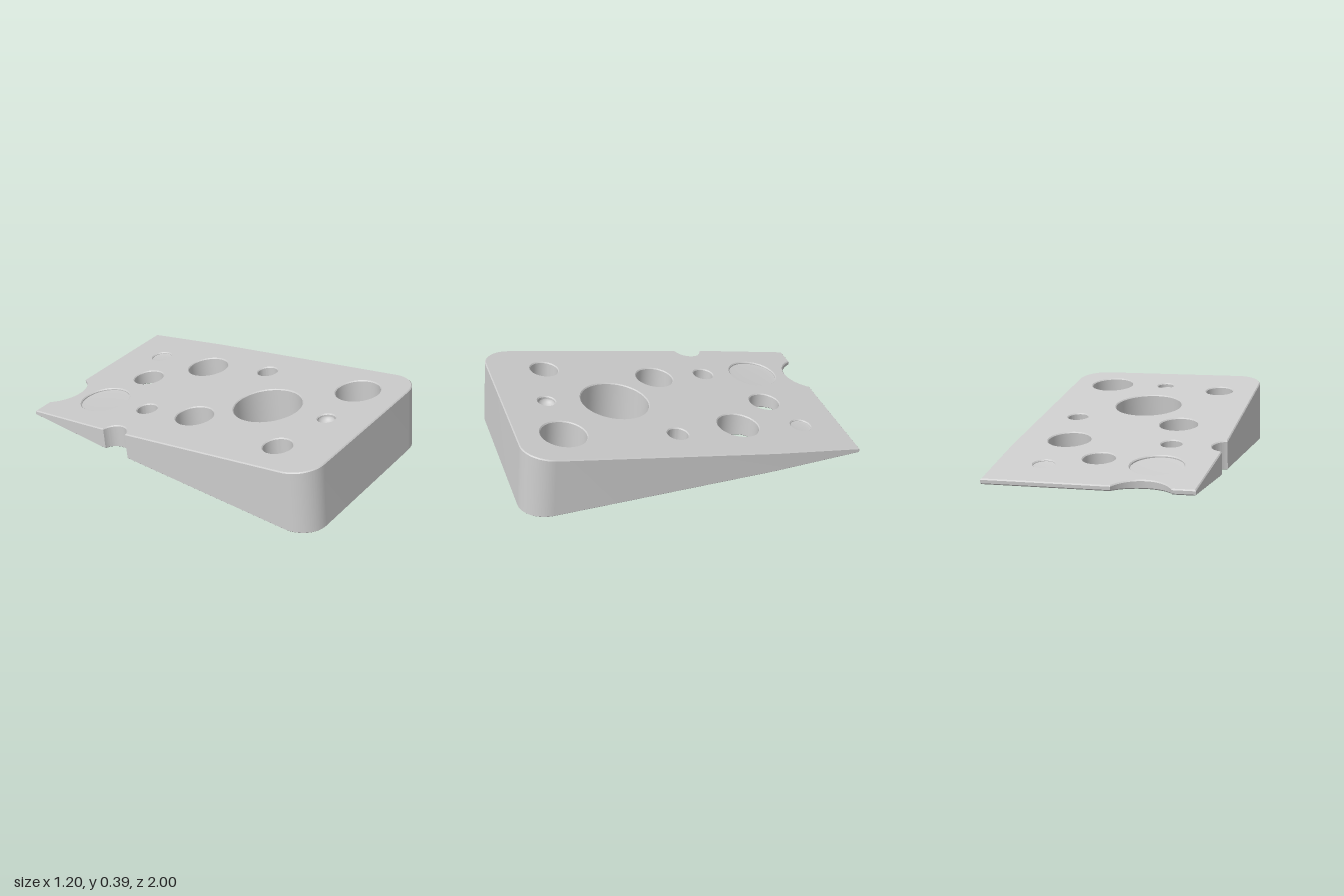
import * as THREE from 'three';
import { toCreasedNormals } from 'three/addons/utils/BufferGeometryUtils.js';

const SLOPE = 0.186; // rise of the upper face per unit z
const LEAN = 0.09; // backward lean of the walls and holes
const BEVEL = 0.006;

// Height of the upper face above a point at z, and the matching plan position at y = 0
const topAt = (z) => 0.03 + SLOPE * (z + 1);
const planZ = (z) => z + LEAN * topAt(z);

// x, z, radius at the upper face
const holes = [
  [0, 0.305, 0.2], [-0.265, -0.022, 0.112], [0.37, 0.045, 0.06], [0.34, 0.695, 0.13],
  [-0.375, 0.63, 0.083], [-0.3, -0.35, 0.06], [0.295, -0.35, 0.123], [0.04, -0.62, 0.091],
];
// x, z, radius, depth of the rim, extra depth of the bowl
const dents = [
  [-0.3, -0.68, 0.147, 0.012, 0.004],
  [0.315, -0.74, 0.06, 0.008, 0.004],
  [-0.01, 0.705, 0.05, 0.008, 0.042],
];

// Plan outline, with shape y pointing to the back
function outline() {
  const s = new THREE.Shape();
  s.moveTo(0.58, 0.997);
  s.lineTo(-0.13, 0.997);
  s.absarc(-0.2925, 1.077, 0.18, -0.457, -Math.PI + 0.457, true); // back notch
  s.lineTo(-0.58, 0.997);
  s.lineTo(-0.6, 0.46);
  s.absarc(-0.615, 0.337, 0.085, 1.393, -1.393, true); // side notch
  s.lineTo(-0.6, -0.83);
  s.absellipse(-0.44, -0.83, 0.16, 0.17, Math.PI, Math.PI * 1.5, false);
  s.absellipse(0.44, -0.83, 0.16, 0.17, Math.PI * 1.5, Math.PI * 2, false);
  s.lineTo(0.6, 0.46);
  s.closePath();
  for (const [x, z, r] of [...holes, ...dents]) {
    s.holes.push(new THREE.Path().absarc(x, -planZ(z), r, 0, Math.PI * 2, true));
  }
  return s;
}

// Extrude upward, then slope the upper face and lean the walls
function wedgeGeometry() {
  const depth = 0.4;
  const g = new THREE.ExtrudeGeometry(outline(), {
    depth, curveSegments: 24, bevelEnabled: true, bevelSegments: 1,
    bevelThickness: BEVEL, bevelSize: BEVEL, bevelOffset: -BEVEL,
  });
  g.rotateX(-Math.PI / 2);
  const p = g.attributes.position;
  for (let i = 0; i < p.count; i++) {
    const e = p.getY(i);
    const z = p.getZ(i);
    const top = topAt(z) / (1 + SLOPE * LEAN);
    const y = e < depth / 2 ? e + BEVEL : top - (depth + BEVEL - e);
    p.setY(i, y);
    p.setZ(i, z - LEAN * y);
  }
  return toCreasedNormals(g, 0.6);
}

// Shallow bowl that closes a blind hole
function bowlGeometry(r, rim, bowl) {
  const pts = [];
  const n = 8;
  for (let i = 0; i <= n; i++) {
    const a = (i / n) * Math.PI / 2;
    pts.push(new THREE.Vector2((r + 0.002) * Math.sin(a), -rim - bowl * Math.cos(a)));
  }
  return new THREE.LatheGeometry(pts, 48);
}

export function createModel() {
  const group = new THREE.Group();
  group.name = 'holedWedge';
  const material = new THREE.MeshStandardMaterial({ color: 0xcccccc });
  const bowlMaterial = new THREE.MeshStandardMaterial({ color: 0xcccccc, side: THREE.DoubleSide });

  const body = new THREE.Mesh(wedgeGeometry(), material);
  body.name = 'wedgeBody';
  group.add(body);

  // Each blind hole is closed near both faces
  for (const [x, z, r, rim, bowl] of dents) {
    const g = bowlGeometry(r, rim, bowl);
    const upper = new THREE.Mesh(g, bowlMaterial);
    upper.name = 'upperDent';
    upper.position.set(x, topAt(z), z);
    upper.rotation.x = -Math.atan(SLOPE);
    const lower = new THREE.Mesh(g, bowlMaterial);
    lower.name = 'lowerDent';
    lower.position.set(x, 0, planZ(z));
    lower.rotation.x = Math.PI;
    group.add(upper, lower);
  }
  return group;
}
